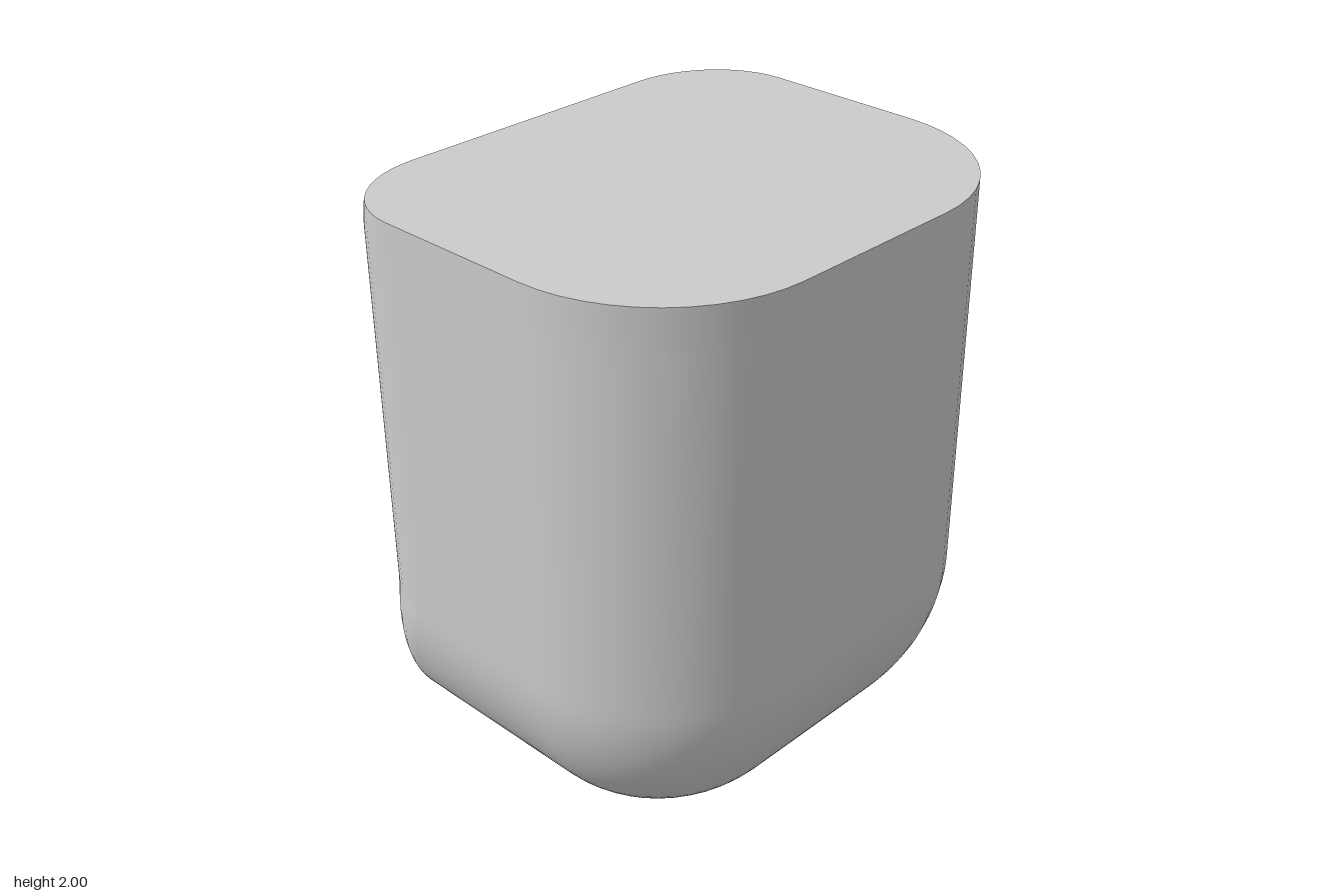
import * as THREE from 'three';

const CORNER = 12; // segments per rounded corner
const arc = (t) => Math.sqrt(Math.max(0, 1 - t * t)); // quarter-circle falloff
const clamp = (t) => Math.min(1, Math.max(0, t));

// Rounded outline of the body at height y, running from the back round +x to the front and -x
function section(y) {
  const xr = 0.7 * arc(clamp((0.7 - y) / 0.7)); // wide curve under the +x side
  const z = 0.2 + 0.615 * arc(clamp((0.68 - y) / 0.68)); // U-shaped front and back
  const low = 0.13 * (1 - arc(clamp((0.13 - y) / 0.13))); // tight curve under the -x side
  const high = 0.13 * (1 - arc(clamp((y - 1.9) / 0.14))) * 0.62; // eased top edge
  const xl = -0.7 + low + high;

  const cxr = 0.17 * xr / 0.7;
  const czr = 0.2 + 0.1 * (z - 0.2) / 0.615;
  const cxl = -0.57 + 0.2 * clamp((y - 0.2) / 0.48);
  const czl = 0.2 + 0.275 * arc(clamp((0.68 - y) / 0.55));

  const corners = [
    [cxr, -czr, xr - cxr, z - czr, -Math.PI / 2],
    [cxr, czr, xr - cxr, z - czr, 0],
    [cxl, czl, cxl - xl, z - czl, Math.PI / 2],
    [cxl, -czl, cxl - xl, z - czl, Math.PI],
  ];
  const points = [];
  for (const [cx, cz, a, b, start] of corners) {
    for (let i = 0; i <= CORNER; i++) {
      const t = start + (i / CORNER) * Math.PI / 2;
      points.push([cx + a * Math.cos(t), y, cz + b * Math.sin(t)]);
    }
  }
  return points;
}

function makeGeometry(positions, index) {
  const geometry = new THREE.BufferGeometry();
  geometry.setAttribute('position', new THREE.Float32BufferAttribute(positions, 3));
  geometry.setIndex(index);
  geometry.computeVertexNormals();
  return geometry;
}

// Smooth skin through the stacked outlines
function skin(rings) {
  const n = rings[0].length;
  const index = [];
  for (let r = 0; r < rings.length - 1; r++) {
    for (let i = 0; i < n; i++) {
      const a = r * n + i;
      const b = r * n + (i + 1) % n;
      index.push(a, a + n, b, b, a + n, b + n);
    }
  }
  return makeGeometry(rings.flat(2), index);
}

// Flat cap as a fan round the middle of an outline
function cap(ring, faceUp) {
  const n = ring.length;
  const midX = ring.reduce((sum, p) => sum + p[0], 0) / n;
  const index = [];
  for (let i = 0; i < n; i++) {
    const j = (i + 1) % n;
    index.push(n, ...(faceUp ? [j, i] : [i, j]));
  }
  return makeGeometry([...ring, [midX, ring[0][1], 0]].flat(), index);
}

export function createModel() {
  const group = new THREE.Group();
  group.name = 'roundedBlock';
  const material = new THREE.MeshStandardMaterial({ color: 0xcccccc });

  // Heights: dense through the bottom curve, then the straight wall and the eased top
  const heights = [];
  for (let i = 0; i <= 28; i++) heights.push(0.7 * (1 - Math.cos((i / 28) * Math.PI / 2)));
  heights.push(1.3, 1.88);
  for (let i = 0; i <= 6; i++) heights.push(1.9 + 0.1 * i / 6);
  const rings = heights.map(section);

  const add = (name, geometry) => {
    const mesh = new THREE.Mesh(geometry, material);
    mesh.name = name;
    group.add(mesh);
  };
  add('body', skin(rings));
  add('topFace', cap(rings[rings.length - 1], true));
  add('bottomFace', cap(rings[0], false));
  return group;
}
